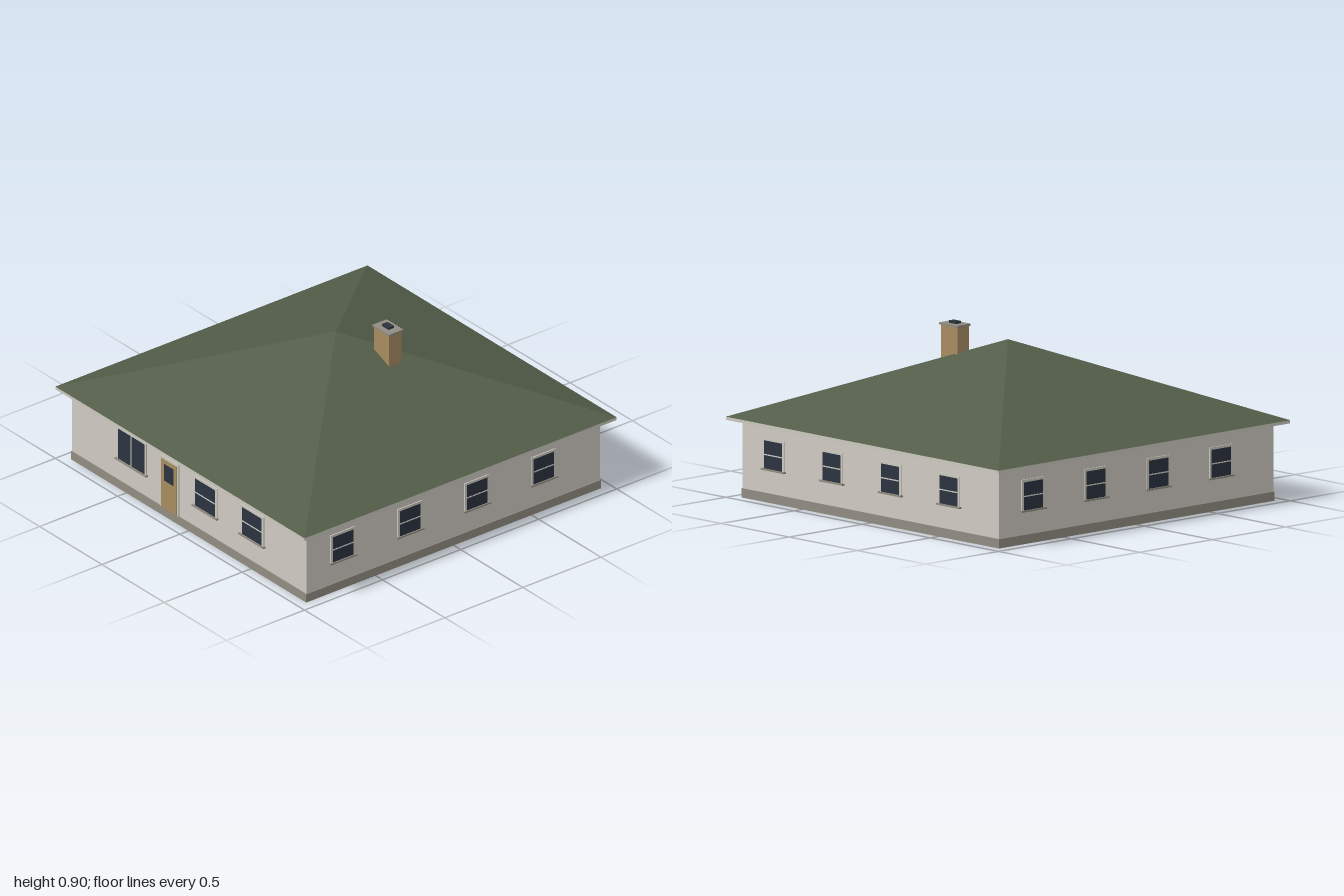
import * as THREE from 'three';

const mat = (name, color) => {
  const m = new THREE.MeshStandardMaterial({ color });
  m.name = name;
  return m;
};

export function createModel() {
  const wall = mat('plaster', 0xcfcac2);
  const trim = mat('trim', 0xcbc8be);
  const stone = mat('stone', 0x918c81);
  const roofing = mat('roof green', 0x535d48);
  const tan = mat('tan', 0xa78b60);
  const glass = mat('dark glass', 0x2b3440);

  const house = new THREE.Group();
  house.name = 'house';

  // Box given by its minimum and maximum corners
  const box = (parent, name, material, [x0, y0, z0], [x1, y1, z1]) => {
    const mesh = new THREE.Mesh(new THREE.BoxGeometry(x1 - x0, y1 - y0, z1 - z0), material);
    mesh.position.set((x0 + x1) / 2, (y0 + y1) / 2, (z0 + z1) / 2);
    mesh.name = name;
    parent.add(mesh);
    return mesh;
  };

  const W = 0.94; // half width of the walls

  // Body
  box(house, 'plinth', stone, [-0.945, 0, -0.945], [0.945, 0.047, 0.945]);
  box(house, 'walls', wall, [-W, 0.047, -W], [W, 0.395, W]);
  box(house, 'eaves', trim, [-1, 0.395, -1], [1, 0.411, 1]);

  // Pyramid roof
  const roofGeo = new THREE.ConeGeometry(Math.SQRT2, 0.404, 4, 1, true).toNonIndexed();
  roofGeo.rotateY(Math.PI / 4);
  roofGeo.computeVertexNormals();
  const roof = new THREE.Mesh(roofGeo, roofing);
  roof.position.y = 0.411 + 0.202;
  roof.name = 'roof';
  house.add(roof);

  // Chimney
  const chimney = new THREE.Group();
  chimney.name = 'chimney';
  house.add(chimney);
  box(chimney, 'chimneyStack', tan, [0.167, 0.697, -0.191], [0.288, 0.875, -0.111]);
  box(chimney, 'chimneyCap', stone, [0.16, 0.875, -0.197], [0.294, 0.886, -0.106]);
  box(chimney, 'chimneyFlue', glass, [0.2, 0.886, -0.17], [0.252, 0.898, -0.135]);

  // Window on a wall facing +z, centred on x
  const addWindow = (side, x, width, top, upright) => {
    const g = new THREE.Group();
    g.name = 'window';
    g.position.x = x;
    side.add(g);
    const h = width / 2, low = 0.172, f = 0.013;
    box(g, 'windowFrame', trim, [-h - f, low - 0.002, W - 0.005], [h + f, top + f, W + 0.006]);
    box(g, 'windowPane', glass, [-h, low, W + 0.001], [h, top, W + 0.0075]);
    const mid = (low + top) / 2;
    if (upright) box(g, 'glazingBar', trim, [-0.003, low, W + 0.003], [0.003, top, W + 0.0095]);
    else box(g, 'glazingBar', trim, [-h, mid - 0.003, W + 0.003], [h, mid + 0.003, W + 0.0095]);
    box(g, 'windowSill', stone, [-h - 0.021, low - 0.009, W - 0.005], [h + 0.021, low, W + 0.014]);
  };

  // Four sides; the front has its own openings
  ['front', 'left', 'back', 'right'].forEach((name, i) => {
    const side = new THREE.Group();
    side.name = name + 'Openings';
    side.rotation.y = (i * Math.PI) / 2;
    house.add(side);
    if (i > 0) {
      for (const x of [-0.71, -0.281, 0.148, 0.577]) addWindow(side, x, 0.13, 0.315, false);
      return;
    }
    addWindow(side, -0.457, 0.208, 0.342, true);
    addWindow(side, 0.136, 0.158, 0.325, false);
    addWindow(side, 0.51, 0.158, 0.325, false);

    // Front door
    const door = new THREE.Group();
    door.name = 'frontDoor';
    side.add(door);
    box(door, 'doorFrame', trim, [-0.229, 0.047, W - 0.005], [-0.079, 0.341, W + 0.006]);
    box(door, 'doorLeaf', tan, [-0.216, 0.047, W + 0.001], [-0.093, 0.326, W + 0.0085]);
    box(door, 'doorPane', glass, [-0.19, 0.208, W + 0.004], [-0.115, 0.302, W + 0.0105]);
  });

  return house;
}
